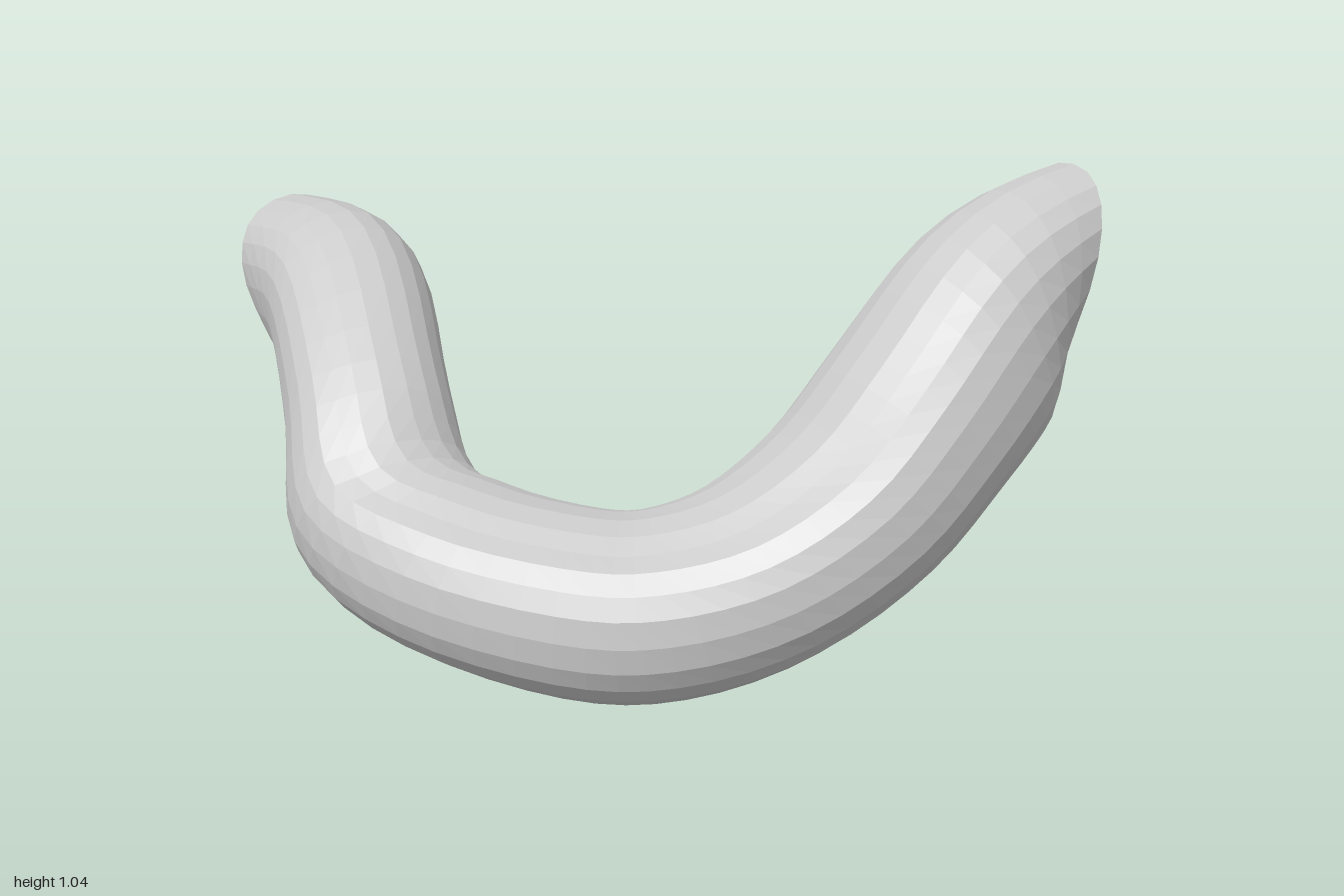
import * as THREE from 'three';

// Cross-sections from the -x end to the +x end:
// centre x, y, z, then yaw, pitch and roll of the section (degrees), half depth, half height
const SECTIONS = [
  [-0.875, 0.64, -0.435, -40, 20, 16, 0.17, 0.215],
  [-0.715, 0.63, -0.245, -52, -15, 8, 0.19, 0.21],
  [-0.575, 0.48, 0.03, -60, -40, 0, 0.185, 0.195],
  [-0.475, 0.305, 0.2, -48, -38, 0, 0.21, 0.192],
  [-0.27, 0.23, 0.3, -20, -14, 0, 0.225, 0.185],
  [0, 0.192, 0.34, 0, -3, 0, 0.232, 0.19],
  [0.18, 0.2, 0.315, 14, 12, 0, 0.245, 0.19],
  [0.365, 0.27, 0.255, 28, 30, 0, 0.25, 0.19],
  [0.53, 0.4, 0.155, 38, 42, 0, 0.245, 0.2],
  [0.655, 0.565, 0.045, 42, 43, 0, 0.235, 0.213],
  [0.765, 0.715, -0.09, 42, 25, 0, 0.218, 0.235],
  [0.87, 0.81, -0.27, 39, -17, 0, 0.18, 0.24],
];
const STEPS = 44;
const SIDES = 24;
// Domed ends: distance beyond the last section, scale
const DOME = [[0.025, 0.82], [0.042, 0.45]];
const DOME_TIP = 0.048;

// Smooth curve through three columns of the section table
function track(i, j, k) {
  const pts = SECTIONS.map((s) => new THREE.Vector3(s[i], s[j], k === undefined ? 0 : s[k]));
  return new THREE.CatmullRomCurve3(pts, false, 'catmullrom', 0.5);
}

// Sine or cosine pushed outwards, for a slightly squared oval
const squared = (v) => Math.sign(v) * Math.abs(v) ** 0.9;

function bodyGeometry() {
  const path = track(0, 1, 2), turn = track(3, 4, 5), size = track(6, 7);
  const positions = [], index = [];
  const add = (p) => positions.push(p.x, p.y, p.z) / 3 - 1;

  // Centre and axes of the section at t
  function frame(t) {
    const [yaw, pitch, roll] = turn.getPoint(t).toArray().map(THREE.MathUtils.degToRad);
    const along = new THREE.Vector3(
      Math.cos(pitch) * Math.cos(yaw), Math.sin(pitch), -Math.cos(pitch) * Math.sin(yaw));
    const side = new THREE.Vector3(Math.sin(yaw), 0, Math.cos(yaw)).applyAxisAngle(along, roll);
    const up = new THREE.Vector3().crossVectors(side, along);
    return { centre: path.getPoint(t), along, side, up };
  }

  function addRing(t, offset, scale) {
    const { centre, along, side, up } = frame(t), half = size.getPoint(t);
    centre.addScaledVector(along, offset);
    for (let j = 0; j < SIDES; j++) {
      const a = (j / SIDES) * Math.PI * 2;
      // Shallow crease along the upper front, fading out towards both ends
      const crease = 0.08 * Math.sin(Math.PI * t) * Math.exp(-(((a - 1.1) / 0.22) ** 2));
      const r = scale * (1 - crease);
      add(centre.clone()
        .addScaledVector(side, squared(Math.cos(a)) * half.x * r)
        .addScaledVector(up, squared(Math.sin(a)) * half.y * r));
    }
  }

  // All rings, from one domed end to the other
  const rings = [...DOME].reverse().map(([d, s]) => [0, -d, s]);
  for (let i = 0; i <= STEPS; i++) rings.push([i / STEPS, 0, 1]);
  for (const [d, s] of DOME) rings.push([1, d, s]);
  for (const ring of rings) addRing(...ring);

  // Skin between neighbouring rings
  const last = (rings.length - 1) * SIDES;
  for (let i = 0; i < last; i += SIDES) {
    for (let j = 0; j < SIDES; j++) {
      const a = i + j, b = i + ((j + 1) % SIDES);
      index.push(a, a + SIDES, b, b, a + SIDES, b + SIDES);
    }
  }

  // Tips of the two domes
  const tip = (t, d) => {
    const { centre, along } = frame(t);
    return add(centre.addScaledVector(along, d));
  };
  const start = tip(0, -DOME_TIP), end = tip(1, DOME_TIP);
  for (let j = 0; j < SIDES; j++) {
    const k = (j + 1) % SIDES;
    index.push(start, j, k, end, last + k, last + j);
  }

  const geometry = new THREE.BufferGeometry();
  geometry.setAttribute('position', new THREE.Float32BufferAttribute(positions, 3));
  geometry.setIndex(index);
  geometry.computeVertexNormals();
  return geometry;
}

export function createModel() {
  const group = new THREE.Group();
  group.name = 'curvedSausage';
  const material = new THREE.MeshStandardMaterial({ color: 0xcccccc, flatShading: true });
  const body = new THREE.Mesh(bodyGeometry(), material);
  body.name = 'sausageBody';
  group.add(body);
  return group;
}
